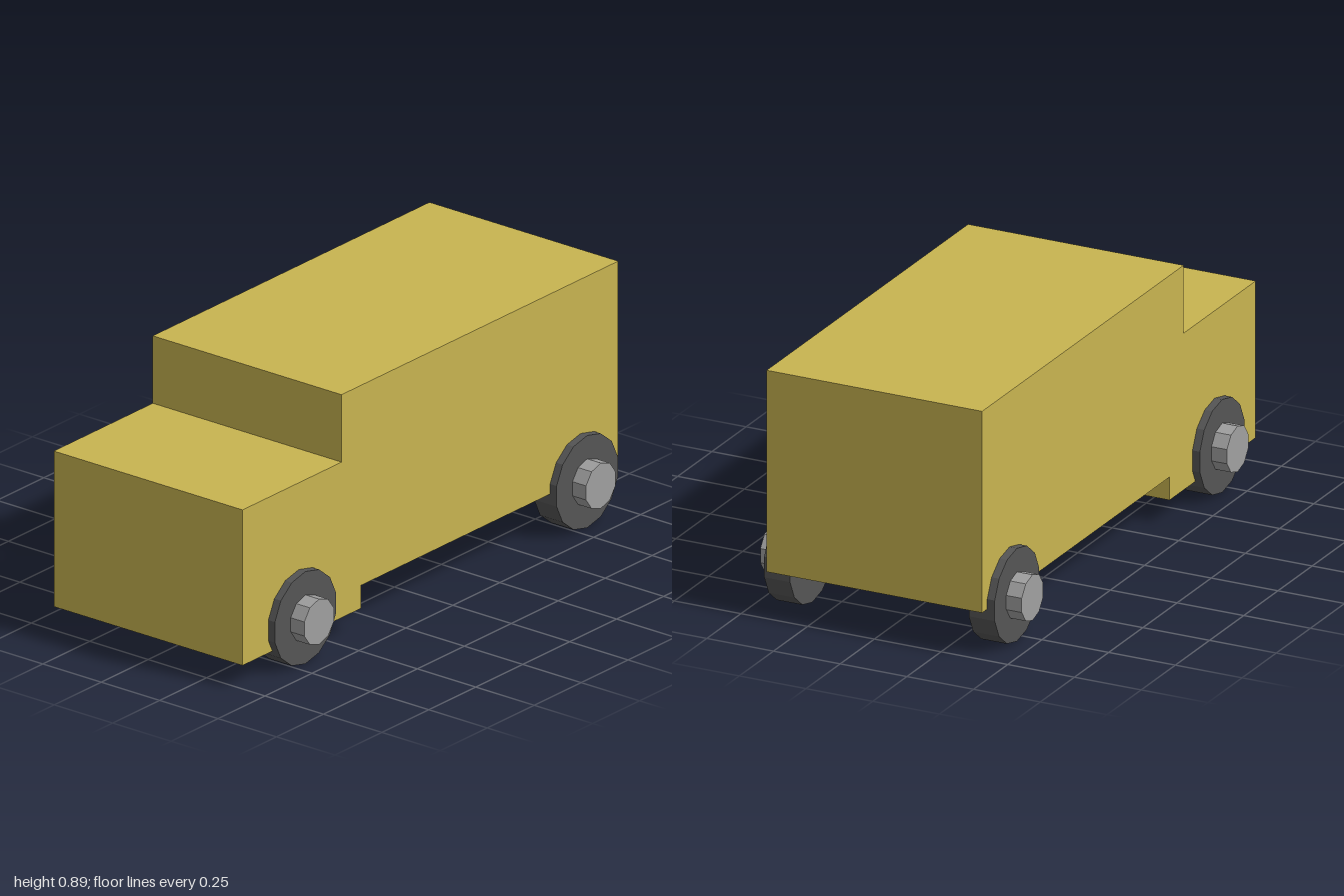
import * as THREE from 'three';

export function createModel() {
  const model = new THREE.Group();
  model.name = 'van';

  const material = (name, color) => {
    const m = new THREE.MeshStandardMaterial({ color, flatShading: true });
    m.name = name;
    return m;
  };
  const paint = material('yellow paint', 0xc8b450);
  const rubber = material('dark grey tyre', 0x555555);
  const metal = material('light grey hub', 0xa0a0a0);

  // Body: side profile as (z, y), extruded across the width
  const halfWidth = 0.404;
  const profile = new THREE.Shape([
    [1, 0.085], [1, 0.648], [0.473, 0.648], [0.473, 0.892],
    [-1, 0.892], [-1, 0.168], [0.37, 0.168], [0.37, 0.085],
  ].map(([z, y]) => new THREE.Vector2(z, y)));
  const bodyGeometry = new THREE.ExtrudeGeometry(profile, { depth: halfWidth * 2, bevelEnabled: false });
  bodyGeometry.rotateY(-Math.PI / 2).translate(halfWidth, 0, 0);
  const body = new THREE.Mesh(bodyGeometry, paint);
  body.name = 'body';
  model.add(body);

  // Low-poly disc along x, with a corner at the top
  const disc = (name, radius, sides, inner, outer, mat) => {
    const g = new THREE.CylinderGeometry(radius, radius, outer - inner, sides, 1, false, Math.PI / 2);
    g.rotateZ(Math.PI / 2);
    const mesh = new THREE.Mesh(g, mat);
    mesh.name = name;
    mesh.position.x = (inner + outer) / 2;
    return mesh;
  };

  // Wheels: tyre and protruding hub at each corner
  for (const [end, z] of [['front', 0.7], ['rear', -0.8]]) {
    for (const [side, turn] of [['Left', 0], ['Right', Math.PI]]) {
      const wheel = new THREE.Group();
      wheel.name = `${end}${side}Wheel`;
      wheel.add(
        disc('tyre', 0.167, 14, 0.335, 0.432, rubber),
        disc('hub', 0.0825, 10, 0.38, 0.49, metal),
      );
      wheel.position.set(0, 0.167, z);
      wheel.rotation.y = turn;
      model.add(wheel);
    }
  }
  return model;
}
